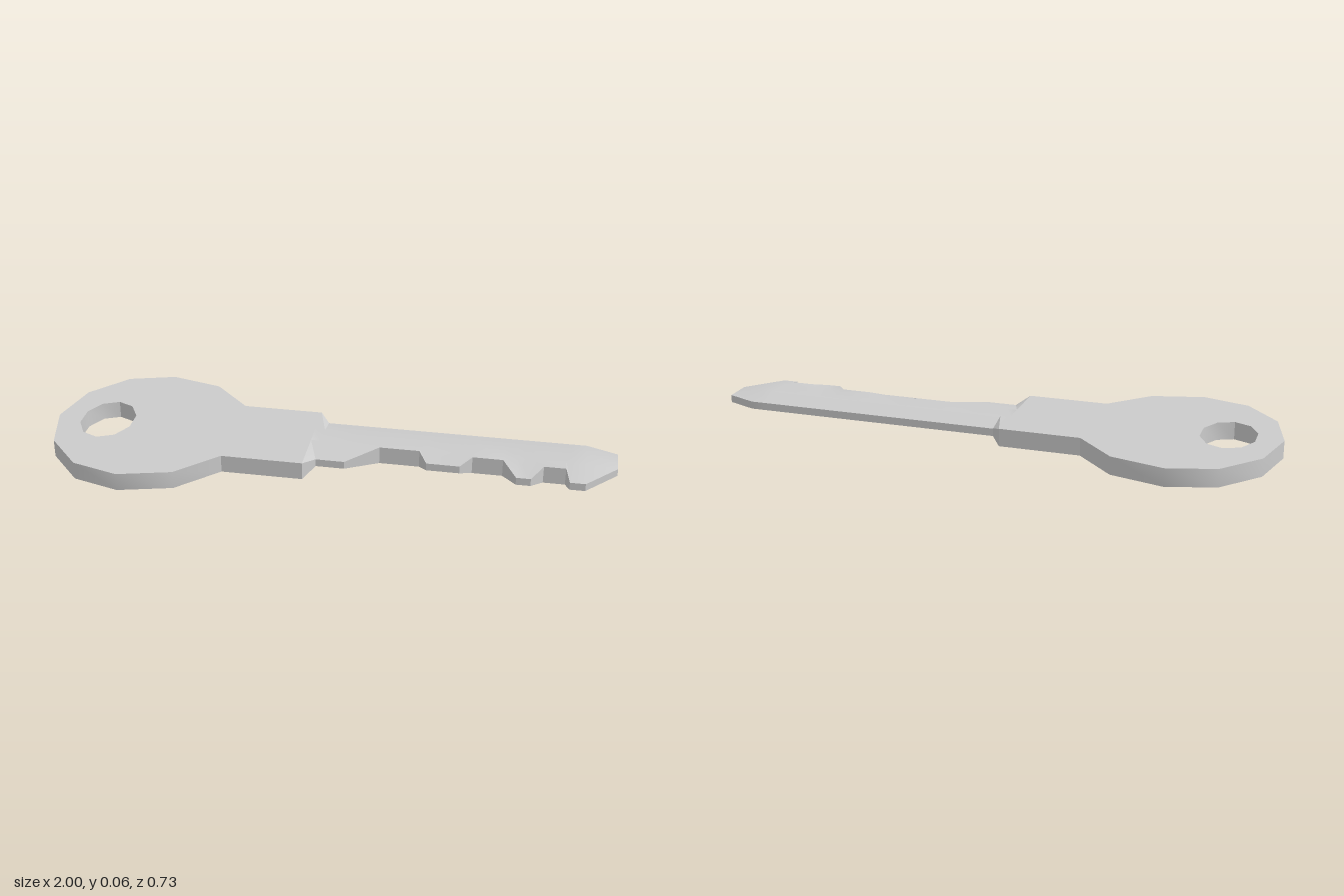
import * as THREE from 'three';
import { toCreasedNormals } from 'three/addons/utils/BufferGeometryUtils.js';

const T = 0.063;          // full thickness
const THIN = 0.018;       // inset of the ground edges
const CREASE = 0.5;

// Flat bow with an oval hole, ending in the shoulder
function makeBow(material) {
  const half = [[-0.955, 0.185], [-0.835, 0.32], [-0.67, 0.367], [-0.485, 0.32], [-0.35, 0.185], [-0.065, 0.185]];
  const mirrored = half.map(([x, z]) => [x, -z]).reverse();
  const outline = [[-1, 0], ...half, ...mirrored].map(([x, z]) => new THREE.Vector2(x, z));
  const shape = new THREE.Shape(outline);

  const hole = [];
  for (let i = 0; i < 10; i++) {
    const a = Math.PI / 2 + (i / 10) * Math.PI * 2;
    hole.push(new THREE.Vector2(-0.816 + 0.097 * Math.cos(a), 0.133 * Math.sin(a)));
  }
  shape.holes.push(new THREE.Path(hole));

  const geometry = new THREE.ExtrudeGeometry(shape, { depth: T, bevelEnabled: false });
  geometry.rotateX(-Math.PI / 2);
  const mesh = new THREE.Mesh(toCreasedNormals(geometry, 0.7), material);
  mesh.name = 'bow';
  return mesh;
}

// Blade lofted along x: teeth are ground thin, the notches keep full thickness
function makeBlade(material) {
  // x, back z, back inset, front z, front inset
  const stations = [
    [-0.065, -0.185, 0, 0.185, 0],
    [-0.03, -0.143, THIN, 0.12, THIN],
    [0.07, -0.143, THIN, 0.12, THIN],
    [0.18, -0.143, THIN, 0.03, 0],
    [0.32, -0.143, THIN, 0.03, 0],
    [0.35, -0.143, THIN, 0.08, THIN],
    [0.465, -0.143, THIN, 0.08, THIN],
    [0.505, -0.143, THIN, 0.04, 0],
    [0.61, -0.143, THIN, 0.04, 0],
    [0.66, -0.143, THIN, 0.12, THIN],
    [0.71, -0.143, THIN, 0.12, THIN],
    [0.75, -0.143, THIN, 0.06, 0],
    [0.825, -0.143, THIN, 0.06, 0],
    [0.84, -0.143, THIN, 0.12, THIN],
    [0.893, -0.143, THIN, 0.12, THIN],
    [1, -0.1, THIN, 0, THIN],
  ];
  const positions = [];
  const index = [];
  const N = 8;
  stations.forEach(([x, zb, ib, zf, inF], i) => {
    const tip = i === stations.length - 1;
    const ridge = tip ? THIN : 0;
    const top = [[zb, ib], [-0.06, ridge], [tip ? -0.03 : 0.02, ridge], [zf, inF]];
    // Over the top from back to front, then underneath from front to back
    top.forEach(([z, inset]) => positions.push(x, T - inset, z));
    [...top].reverse().forEach(([z, inset]) => positions.push(x, inset, z));
  });
  for (let i = 0; i < stations.length - 1; i++) {
    for (let j = 0; j < N; j++) {
      const k = (j + 1) % N;
      const a = i * N + j, d = i * N + k, b = a + N, c = d + N;
      index.push(a, d, c, a, c, b);
    }
  }
  // Blunt tip
  const last = (stations.length - 1) * N;
  for (let j = 1; j < N - 1; j++) index.push(last, last + j, last + j + 1);

  const geometry = new THREE.BufferGeometry();
  geometry.setAttribute('position', new THREE.Float32BufferAttribute(positions, 3));
  geometry.setIndex(index);
  const mesh = new THREE.Mesh(toCreasedNormals(geometry, CREASE), material);
  mesh.name = 'blade';
  return mesh;
}

export function createModel() {
  const material = new THREE.MeshStandardMaterial({ color: 0xcccccc });
  const key = new THREE.Group();
  key.name = 'key';
  key.add(makeBow(material), makeBlade(material));
  return key;
}
